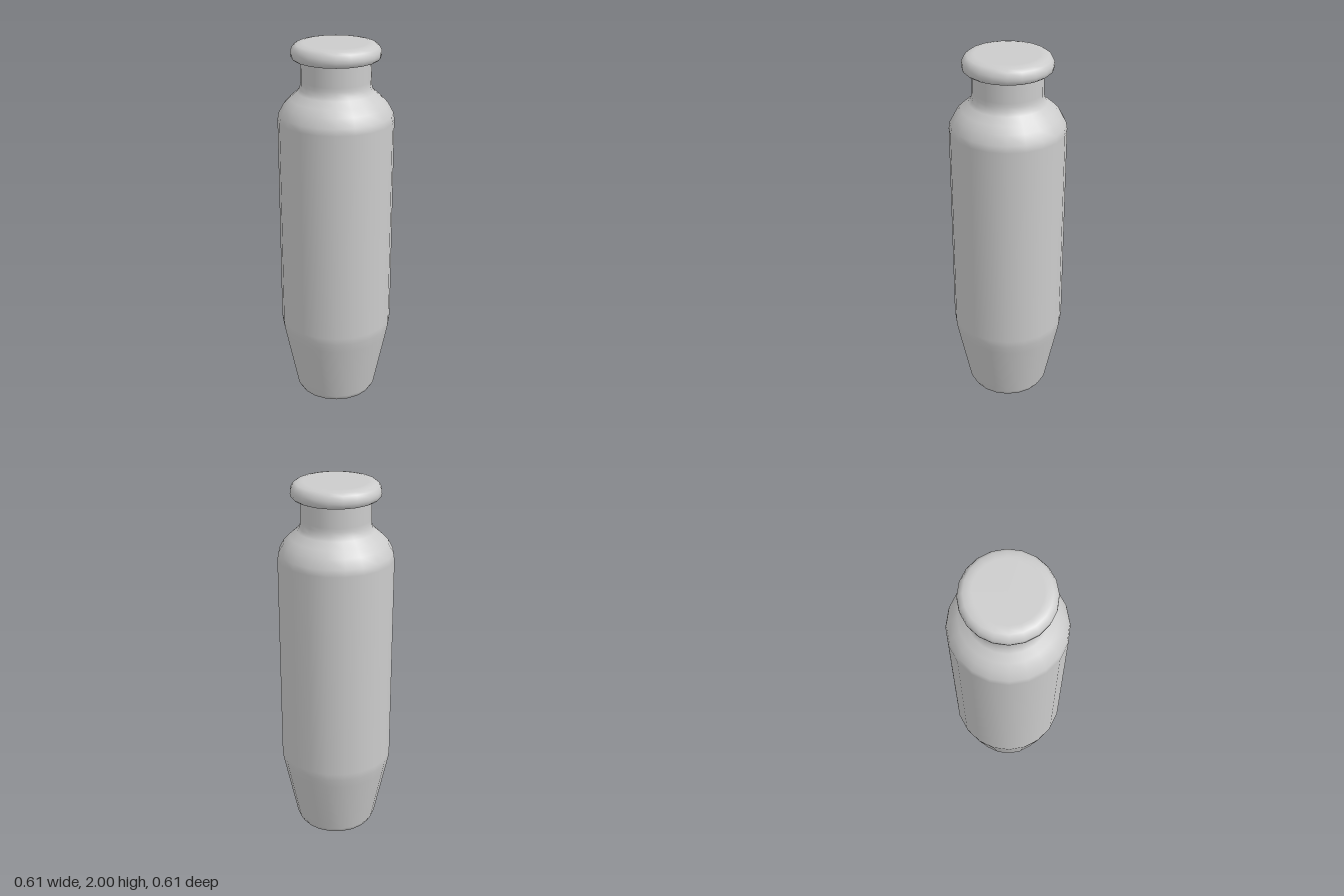
import * as THREE from 'three';

const SIDES = 20;

// Turned part from [radius, height] pairs, listed from the bottom up
function turned(name, profile, material) {
  const points = profile.map(([r, y]) => new THREE.Vector2(r, y));
  const mesh = new THREE.Mesh(new THREE.LatheGeometry(points, SIDES), material);
  mesh.name = name;
  return mesh;
}

export function createModel() {
  const group = new THREE.Group();
  group.name = 'bottle';
  const material = new THREE.MeshStandardMaterial({ color: 0xcccccc });

  // Tapered base, straight wall and rounded shoulder
  group.add(turned('body', [
    [0, 0], [0.155, 0], [0.175, 0.002], [0.205, 0.016], [0.222, 0.045],
    [0.29, 0.37], [0.3, 0.42], [0.304, 0.46],
    [0.304, 1.6], [0.298, 1.635], [0.272, 1.683],
    [0.24, 1.715], [0.202, 1.748], [0.189, 1.765], [0.183, 1.79], [0.183, 1.81],
  ], material));

  // Straight neck reaching into the stopper
  group.add(turned('neck', [[0.183, 1.81], [0.183, 1.93]], material));

  // Stopper with a flat underside, in its own lathe for a crisp lower edge
  group.add(turned('stopperUnderside', [[0, 1.918], [0.218, 1.918]], material));
  group.add(turned('stopper', [
    [0.218, 1.918], [0.23, 1.928], [0.233, 1.945], [0.232, 1.962],
    [0.222, 1.983], [0.205, 1.995], [0.18, 2], [0.165, 2], [0, 2],
  ], material));

  return group;
}
